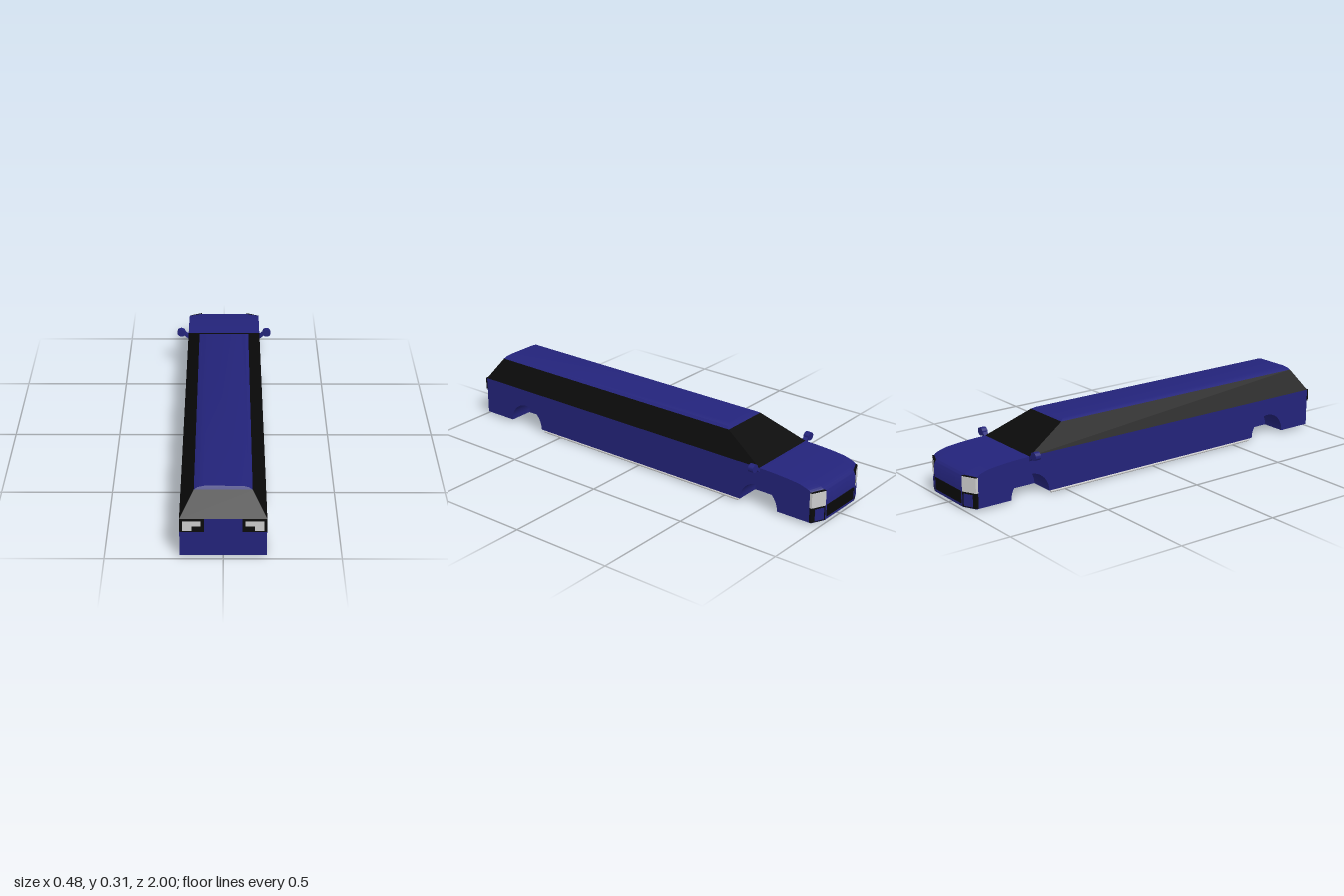
import * as THREE from 'three';
import { toCreasedNormals } from 'three/addons/utils/BufferGeometryUtils.js';

const mat = (color) => new THREE.MeshStandardMaterial({ color });
const paint = mat(0x23237a), black = mat(0x0a0a0a), grey = mat(0xcccccc);
const FLOOR = 0.013, ARCH = 0.1;

function add(parent, name, geometry, material) {
  const mesh = new THREE.Mesh(geometry, material);
  mesh.name = name;
  parent.add(mesh);
  return mesh;
}

function box(parent, name, material, x0, x1, y0, y1, z0, z1) {
  const g = new THREE.BoxGeometry(Math.abs(x1 - x0), y1 - y0, z1 - z0);
  g.translate((x0 + x1) / 2, (y0 + y1) / 2, (z0 + z1) / 2);
  return add(parent, name, g, material);
}

// Side outline of the body (z, y), optionally with wheel arches cut out
function sideOutline(arches) {
  const s = new THREE.Shape();
  s.moveTo(0.99, FLOOR);
  s.lineTo(0.99, 0.195);
  s.lineTo(-0.67, 0.195);
  s.splineThru([[-0.78, 0.192], [-0.88, 0.184], [-0.95, 0.172], [-0.983, 0.16], [-0.997, 0.138]]
    .map(([z, y]) => new THREE.Vector2(z, y)));
  s.lineTo(-0.997, FLOOR);
  if (arches) {
    for (const z of [-0.69, 0.72]) {
      s.lineTo(z - ARCH, FLOOR);
      s.absarc(z, FLOOR, ARCH, Math.PI, 0, true);
    }
  }
  return s;
}

// One lengthwise slab of the body between two x values
function slab(x0, x1, arches) {
  const g = new THREE.ExtrudeGeometry(sideOutline(arches), { depth: x1 - x0, bevelEnabled: false, curveSegments: 20 });
  g.rotateY(-Math.PI / 2);
  g.translate(x1, 0, 0);
  // Pull the outer nose corners back
  const p = g.attributes.position;
  for (let i = 0; i < p.count; i++) {
    const t = THREE.MathUtils.clamp((-0.9 - p.getZ(i)) / 0.097, 0, 1);
    if (Math.abs(p.getX(i)) > 0.15) p.setZ(i, p.getZ(i) + 0.03 * t);
  }
  return toCreasedNormals(g, 0.5);
}

// Upright prism from a plan outline of [x, z] points
function prism(points, y0, y1) {
  const s = new THREE.Shape(points.map(([x, z]) => new THREE.Vector2(x, z)));
  const g = new THREE.ExtrudeGeometry(s, { depth: y1 - y0, bevelEnabled: false });
  g.rotateX(Math.PI / 2);
  g.translate(0, y1, 0);
  return g;
}

// Stacked rectangles [half width, y, nose z, tail z], closed on top if asked
function stack(rows, cap) {
  const pos = [];
  const ring = ([w, y, a, b]) => [[w, y, b], [w, y, a], [-w, y, a], [-w, y, b]];
  const quad = (a, b, c, d) => pos.push(...a, ...b, ...c, ...a, ...c, ...d);
  for (let r = 0; r + 1 < rows.length; r++) {
    const lo = ring(rows[r]), hi = ring(rows[r + 1]);
    for (let i = 0; i < 4; i++) {
      const j = (i + 1) % 4;
      quad(lo[i], lo[j], hi[j], hi[i]);
    }
  }
  if (cap) quad(...ring(rows[rows.length - 1]));
  const g = new THREE.BufferGeometry();
  g.setAttribute('position', new THREE.Float32BufferAttribute(pos, 3));
  return toCreasedNormals(g, 0.5);
}

export function createModel() {
  const car = new THREE.Group();
  car.name = 'longCar';

  // Body: solid core, then slabs with wheel wells on both sides
  const body = new THREE.Group();
  body.name = 'body';
  car.add(body);
  add(body, 'bodyCore', slab(-0.063, 0.063, false), paint);
  for (const [a, b] of [[0.063, 0.12], [0.12, 0.183]]) {
    add(body, 'bodySide', slab(a, b, true), paint);
    add(body, 'bodySide', slab(-b, -a, true), paint);
  }

  // Cabin glass and roof
  const eave = [0.122, 0.298, -0.478, 0.925];
  add(car, 'windows', stack([[0.183, 0.195, -0.69, 0.99], eave]), black);
  add(car, 'roof', stack([eave, [0.107, 0.307, -0.46, 0.92], [0.08, 0.312, -0.45, 0.917]], true), paint);

  // Grille
  box(car, 'grille', black, -0.108, 0.108, 0.027, 0.083, -1, -0.98);

  for (const s of [1, -1]) {
    const plan = (pts) => pts.map(([x, z]) => [s * x, z]);

    // Nose corner: dark housing, headlight and lower panel
    const corner = (name, x0, x1, out, y0, y1, material) => {
      const z = (x) => -0.998 + (x - 0.12) * 0.476 - out;
      add(car, name, prism(plan([[x0, z(x0)], [x1, z(x1)], [x1, -0.957], [x0, -0.957]]), y0, y1), material);
    };
    corner('headlightHousing', 0.12, 0.184, 0, 0.015, 0.158, black);
    corner('headlight', 0.121, 0.1855, 0.002, 0.085, 0.155, grey);
    corner('bumperPanel', 0.127, 0.168, 0.002, 0.02, 0.076, paint);

    // Tail light: dark panel with a stepped lamp
    box(car, 'tailPanel', black, s * 0.08, s * 0.183, 0.137, 0.195, 0.985, 0.998);
    box(car, 'tailLampUpper', grey, s * 0.093, s * 0.171, 0.165, 0.188, 0.99, 1);
    box(car, 'tailLampLower', grey, s * 0.132, s * 0.171, 0.143, 0.165, 0.99, 1);

    // Side pipe under the sill
    const pipe = new THREE.CylinderGeometry(0.006, 0.006, 1.18, 12);
    pipe.rotateX(Math.PI / 2);
    add(car, 'sidePipe', pipe, grey).position.set(s * 0.178, 0.006, 0.01);

    // Door mirror: flat oval pod on a slanted arm
    const mirror = new THREE.Group();
    mirror.name = 'mirror';
    car.add(mirror);
    const pod = new THREE.CylinderGeometry(1, 1, 0.027, 20);
    pod.rotateX(Math.PI / 2);
    pod.scale(0.0205, 0.019, 1);
    add(mirror, 'mirrorPod', toCreasedNormals(pod, 0.6), paint).position.set(s * 0.2195, 0.205, -0.681);
    const arm = add(mirror, 'mirrorArm', new THREE.BoxGeometry(0.04, 0.014, 0.024), paint);
    arm.position.set(s * 0.192, 0.19, -0.681);
    arm.rotation.z = s * 0.7;
  }
  return car;
}
